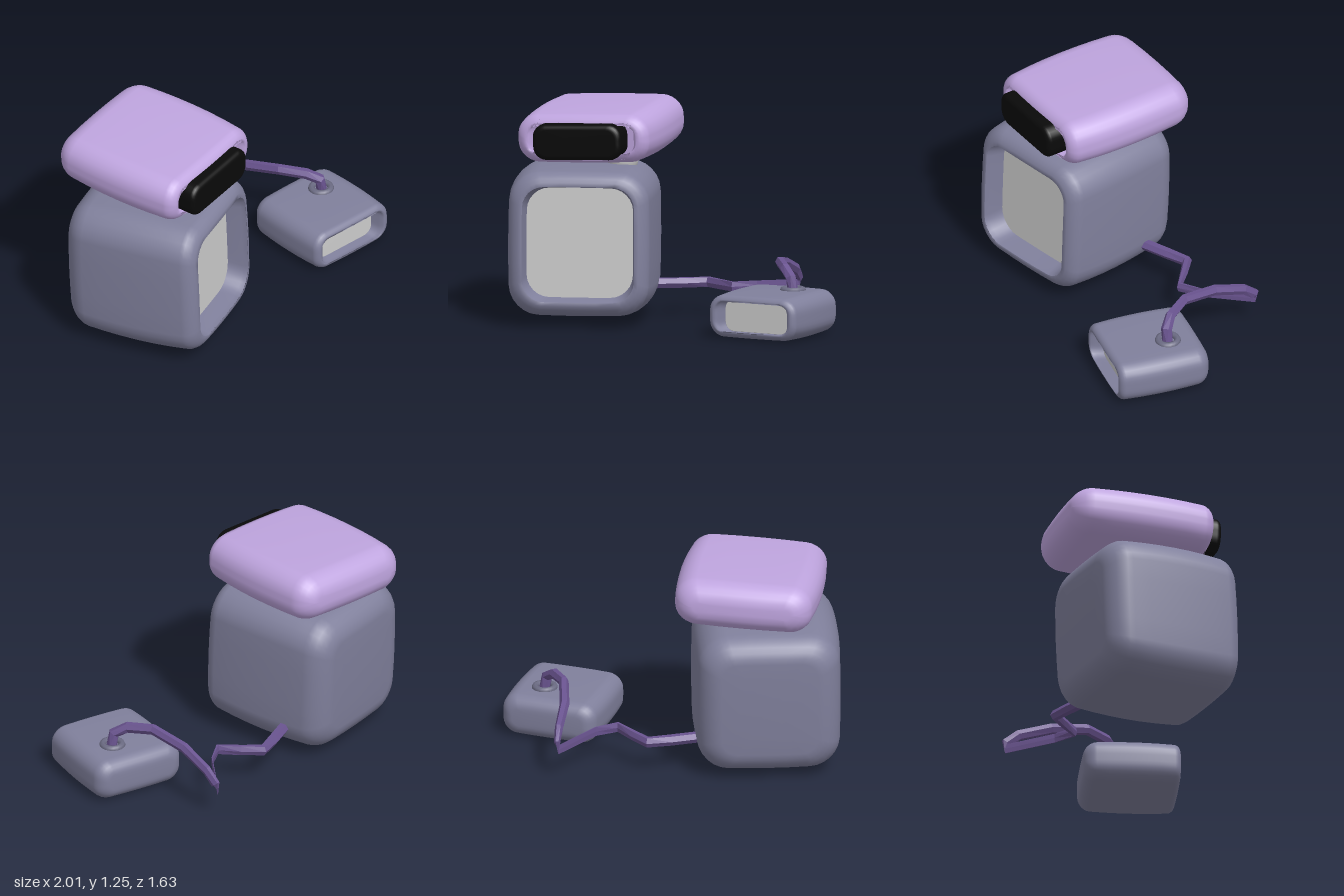
import * as THREE from 'three';

const mat = (color, opts = {}) => new THREE.MeshStandardMaterial({ color, ...opts });

// Rounded rectangle ring, counter-clockwise seen from +z, with points along the straight sides
function ring({ w, h, r, z }, seg = 6, straight = 4) {
  const q = Math.max(0.001, Math.min(r, w, h));
  const arcs = [[1, 1], [-1, 1], [-1, -1], [1, -1]].map(([sx, sy], c) =>
    Array.from({ length: seg + 1 }, (_, i) => {
      const a = (c + i / seg) * Math.PI / 2;
      return [sx * (w - q) + q * Math.cos(a), sy * (h - q) + q * Math.sin(a), z];
    }));
  return arcs.flatMap((arc, c) => {
    const from = arc[seg], to = arcs[(c + 1) % 4][0];
    const side = Array.from({ length: straight - 1 }, (_, i) =>
      from.map((v, m) => v + (to[m] - v) * (i + 1) / straight));
    return [...arc, ...side];
  });
}

// Skin a list of rings with equal point counts, with optional end caps
function loft(rings, capEnd = true) {
  const n = rings[0].length, pos = rings.flat(2), idx = [];
  for (let i = 0; i < rings.length - 1; i++)
    for (let j = 0; j < n; j++) {
      const k = (j + 1) % n, a = i * n + j, b = i * n + k;
      idx.push(a, b, b + n, a, b + n, a + n);
    }
  const cap = (i, flip) => {
    const c = pos.length / 3, mid = [0, 0, 0];
    rings[i].forEach(p => p.forEach((v, m) => { mid[m] += v / n; }));
    pos.push(...mid);
    for (let j = 0; j < n; j++) {
      const a = i * n + j, b = i * n + (j + 1) % n;
      idx.push(c, flip ? b : a, flip ? a : b);
    }
  };
  cap(0, true);
  if (capEnd) cap(rings.length - 1, false);
  const g = new THREE.BufferGeometry();
  g.setAttribute('position', new THREE.Float32BufferAttribute(pos, 3));
  g.setIndex(idx);
  g.computeVertexNormals();
  return g;
}

// Quarter-round of rings, from the end face outwards to the full section
function roundEnd(w, h, r, zEnd, R, dir, steps = 6) {
  return Array.from({ length: steps + 1 }, (_, i) => {
    const a = i / steps * Math.PI / 2, inset = R * (1 - Math.sin(a));
    return { w: w - inset, h: h - inset, r: r - inset * 0.6, z: zEnd - dir * R * (1 - Math.cos(a)) };
  });
}

// Pillow-like case, open at the front, with a rounded lip and a recess
function hollowCase({ w, h, d, dBack, r, back, lip, openW, openH, openR, inW, inH, floor, bulge }) {
  const rear = roundEnd(w, h, r, -dBack, back, -1), first = rear[0];
  const rows = [
    ...[0.3, 0.65].map(k => ({ w: first.w * k, h: first.h * k, r: first.r * k, z: -dBack })),
    ...rear,
    ...[1, 2, 3, 4, 5].map(i => ({ w, h, r, z: THREE.MathUtils.lerp(-dBack + back, d - lip, i / 6) })),
    ...roundEnd(w, h, r, d, lip, 1, 5).reverse(),
    { w: openW + (w - openW) * 0.18, h: openH + (h - openH) * 0.18, r: openR + 0.01, z: d - 0.008 },
    { w: openW, h: openH, r: openR, z: d - 0.035 },
    { w: inW, h: inH, r: openR, z: floor - 0.01 },
  ];
  // Swell the middle of every side
  const swell = ([x, y, z]) => {
    const fx = (x / w) ** 2, fy = (y / h) ** 2, fz = (z / (z < 0 ? dBack : d)) ** 2;
    return [x * (1 - bulge * (fy / 2 + fz)), y * (1 - bulge * (fx / 2 + fz)), z * (1 - bulge * (fx + fy) / 2)];
  };
  return loft(rows.map(s => ring(s).map(swell)), false);
}

// Solid soft box between two z planes
function softBlock(w, h, r, z0, z1, R) {
  return loft([...roundEnd(w, h, r, z0, R, -1), ...roundEnd(w, h, r, z1, R, 1).reverse()].map(s => ring(s)));
}

// Thin plate with rounded corners, its front at z
const plate = (w, h, r, z) => softBlock(w, h, r, z - 0.01, z, 0.002);

// Faceted cable; each point is x, y, z, half width
function cableGeometry(path, half, sides = 6) {
  const P = path.map(p => new THREE.Vector3(p[0], p[1], p[2]));
  const up = new THREE.Vector3(0, 1, 0);
  let prev = null;
  return loft(P.map((p, i) => {
    const t = P[Math.min(i + 1, P.length - 1)].clone().sub(P[Math.max(i - 1, 0)]).normalize();
    const side = up.clone().cross(t).normalize();
    if (prev && side.dot(prev) < 0) side.negate();
    prev = side;
    const lift = t.clone().cross(side);
    return Array.from({ length: sides }, (_, j) => {
      const a = j / sides * Math.PI * 2;
      return p.clone().addScaledVector(side, Math.cos(a) * path[i][3])
        .addScaledVector(lift, Math.sin(a) * half).toArray();
    });
  }));
}

export function createModel() {
  const model = new THREE.Group();
  const shell = mat(0x80809c), lavender = mat(0xbfa5df), grey = mat(0xcccccc);
  const black = mat(0x0a0a0a), purple = mat(0x6a5490, { flatShading: true, side: THREE.DoubleSide });

  const add = (parent, name, geometry, material, p = [0, 0, 0]) => {
    const m = new THREE.Mesh(geometry, material);
    m.name = name;
    m.position.set(...p);
    parent.add(m);
    return m;
  };
  const part = (name, p, pitch, yaw, roll) => {
    const g = new THREE.Group();
    g.name = name;
    g.position.set(...p);
    g.rotation.set(...[pitch, yaw, roll].map(THREE.MathUtils.degToRad), 'YXZ');
    model.add(g);
    return g;
  };

  // Large body with a recessed screen
  const body = part('body', [-0.47, 0.467, 0.283], -2.2, 47.3, 0);
  add(body, 'bodyCase', hollowCase({
    w: 0.42, h: 0.43, d: 0.405, dBack: 0.44, r: 0.17, back: 0.13, lip: 0.08,
    openW: 0.335, openH: 0.345, openR: 0.13, inW: 0.31, inH: 0.32, floor: 0.275, bulge: 0.05,
  }), shell);
  add(body, 'bodyScreen', plate(0.312, 0.322, 0.13, 0.275), grey);

  // Rounded neck peg
  const peg = [[0, -0.1], [0.05, -0.095], [0.08, -0.065], [0.092, -0.02], [0.092, 0.02], [0.08, 0.065], [0, 0.09]];
  add(model, 'neck', new THREE.LatheGeometry(peg.map(p => new THREE.Vector2(...p)), 20),
    grey, [-0.36, 0.93, 0.095]);

  // Flat head with a protruding visor
  const head = part('head', [-0.468, 1.087, 0.165], 1.3, 36.5, 2.3);
  add(head, 'headCase', hollowCase({
    w: 0.41, h: 0.148, d: 0.415, dBack: 0.44, r: 0.115, back: 0.11, lip: 0.06,
    openW: 0.32, openH: 0.122, openR: 0.08, inW: 0.295, inH: 0.112, floor: 0.32, bulge: 0.065,
  }), lavender);
  add(head, 'visor', softBlock(0.262, 0.103, 0.075, 0.28, 0.475, 0.03), black, [-0.012, -0.006, 0]);
  add(head, 'visorBacking', plate(0.3, 0.115, 0.08, 0.32), lavender);

  // Small side unit with its own screen
  const unit = part('sideUnit', [0.65, 0.126, -0.22], -0.5, 24.6, 0.5);
  add(unit, 'unitCase', hollowCase({
    w: 0.29, h: 0.126, d: 0.277, dBack: 0.287, r: 0.085, back: 0.07, lip: 0.035,
    openW: 0.23, openH: 0.102, openR: 0.06, inW: 0.205, inH: 0.093, floor: 0.2, bulge: 0.045,
  }), shell);
  add(unit, 'unitScreen', plate(0.203, 0.092, 0.055, 0.2), grey);

  // Socket ring on the side unit
  const socket = add(model, 'socket', new THREE.TorusGeometry(0.055, 0.02, 8, 20), mat(0x6c6c84),
    [0.685, 0.25, -0.333]);
  socket.rotation.x = Math.PI / 2;

  // Kinked cable from the side unit to the body
  add(model, 'cable', cableGeometry([
    [0.69, 0.23, -0.333, 0.032], [0.675, 0.32, -0.325, 0.032], [0.6, 0.362, -0.342, 0.03],
    [0.46, 0.376, -0.41, 0.028], [0.3, 0.335, -0.57, 0.028], [0.19, 0.27, -0.73, 0.024],
    [0.147, 0.21, -0.79, 0.018], [0.135, 0.17, -0.79, 0.003], [0.132, 0.19, -0.49, 0.004],
    [0.085, 0.19, -0.355, 0.016], [-0.05, 0.185, -0.37, 0.022], [-0.175, 0.182, -0.38, 0.03],
    [-0.245, 0.18, -0.265, 0.034], [-0.345, 0.18, -0.09, 0.034],
  ], 0.032), purple);

  return model;
}
